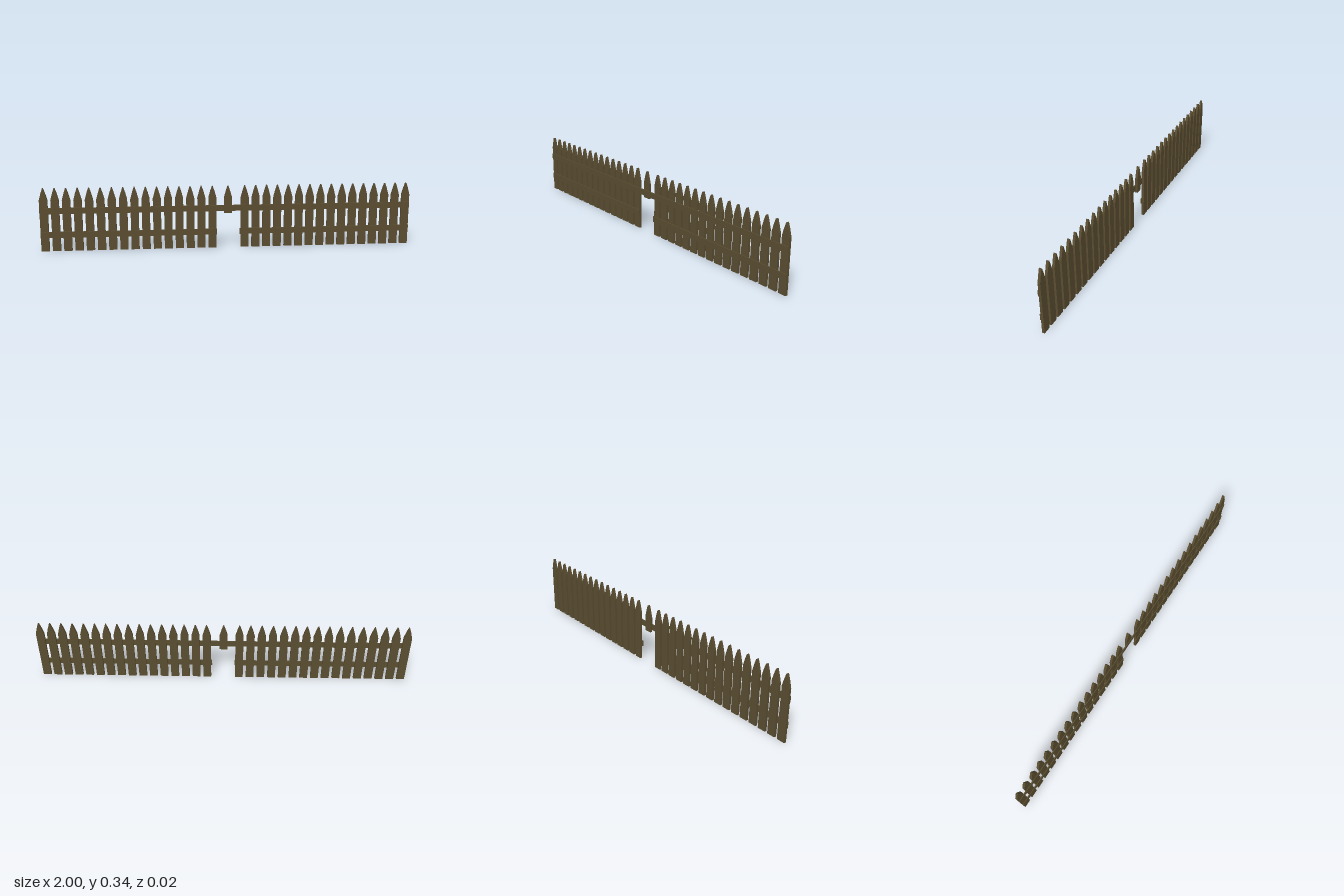
import * as THREE from 'three';

const wood = new THREE.MeshStandardMaterial({ color: 0x5a4d30, flatShading: true });

// Pointed board standing between two heights
function picketGeometry(bottom) {
  const half = [
    [0.0215, bottom], [0.0215, 0.275], [0.0115, 0.311], [0.002, 0.339],
  ];
  const outline = [...half, ...half.map(([x, y]) => [-x, y]).reverse()];
  const shape = new THREE.Shape(outline.map(([x, y]) => new THREE.Vector2(x, y)));
  const geometry = new THREE.ExtrudeGeometry(shape, { depth: 0.013, bevelEnabled: false });
  return geometry.translate(0, 0, -0.006);
}

export function createModel() {
  const model = new THREE.Group();
  model.name = 'picketFence';

  const add = (name, geometry, x, y = 0, z = 0) => {
    const mesh = new THREE.Mesh(geometry, wood);
    mesh.name = name;
    mesh.position.set(x, y, z);
    model.add(mesh);
  };

  // Two runs of sixteen full pickets with a gap in the middle
  const full = picketGeometry(0);
  for (const side of [-1, 1]) {
    for (let i = 0; i < 16; i++) {
      add('picket', full, side * (0.0875 + i * 0.0594));
    }
  }

  // Broken picket hanging from the upper rail
  add('brokenPicket', picketGeometry(0.19), -0.003);

  // Rails on the front face: one through the gap, two stopping at it
  const rail = (name, x0, x1, y) =>
    add(name, new THREE.BoxGeometry(x1 - x0, 0.032, 0.006), (x0 + x1) / 2, y, 0.008);
  rail('upperRail', -1, 1, 0.218);
  rail('lowerRailRight', -1, -0.063, 0.089);
  rail('lowerRailLeft', 0.06, 1, 0.089);

  // Small splinter knob on the back of the broken picket
  add('splinter', new THREE.BoxGeometry(0.006, 0.008, 0.004), -0.003, 0.311, -0.007);

  return model;
}
